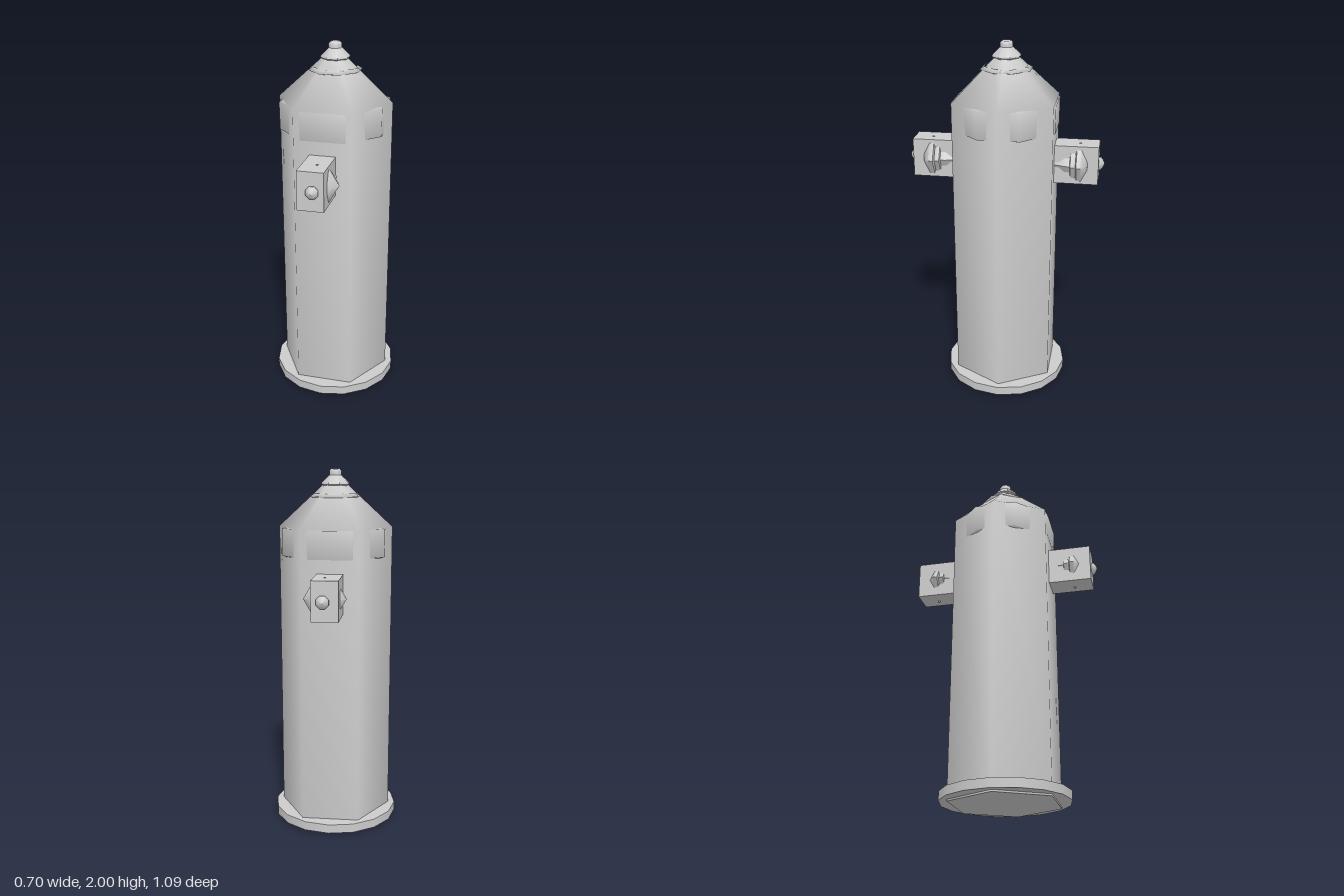
import * as THREE from 'three';
import { toCreasedNormals } from 'three/addons/utils/BufferGeometryUtils.js';

const material = new THREE.MeshStandardMaterial({ color: 0xcccccc });

// Faceted revolve from [radius, height] pairs, listed from bottom to top.
function revolve(profile, sides, start, crease) {
  const points = profile.map(([r, y]) => new THREE.Vector2(r, y));
  const geometry = new THREE.LatheGeometry(points, sides, start);
  return crease ? toCreasedNormals(geometry, crease) : geometry;
}

function add(parent, name, geometry, x = 0, y = 0, z = 0) {
  const mesh = new THREE.Mesh(geometry, material);
  mesh.name = name;
  mesh.position.set(x, y, z);
  parent.add(mesh);
  return mesh;
}

// Side outlet pointing along +z (side = 1) or -z (side = -1).
function makeOutlet(side) {
  const outlet = new THREE.Group();
  outlet.name = side > 0 ? 'frontOutlet' : 'backOutlet';
  const turn = (g) => g.rotateX(side * Math.PI / 2);

  add(outlet, 'outletBlock', new THREE.BoxGeometry(0.142, 0.213, 0.27), 0, 1.352, side * 0.378);
  // Hexagonal neck, ring and domed cap
  const nozzle = revolve([
    [0, 0.2], [0.065, 0.25], [0.07, 0.3], [0.084, 0.33], [0.084, 0.358], [0.1, 0.362], [0.102, 0.385],
    [0.096, 0.39], [0.112, 0.395], [0.112, 0.42], [0.075, 0.452], [0, 0.465],
  ], 6, Math.PI / 2, 0.9);
  add(outlet, 'nozzle', turn(nozzle), 0.01, 1.35, 0);
  // Pointed nut on the end of the block
  const nut = revolve([[0, 0.5], [0.035, 0.51], [0.036, 0.523], [0.02, 0.536], [0, 0.545]], 8, Math.PI / 8);
  add(outlet, 'outletNut', turn(nut), 0.01, 1.35, 0);
  add(outlet, 'outletPin', new THREE.CylinderGeometry(0.006, 0.006, 0.226, 6), 0.01, 1.349, side * 0.41);
  return outlet;
}

export function createModel() {
  const hydrant = new THREE.Group();
  hydrant.name = 'hydrant';

  // Round foot plate
  const foot = new THREE.CylinderGeometry(0.352, 0.352, 0.05, 16, 1, false, Math.PI / 2);
  add(hydrant, 'footPlate', foot, 0, 0.035, 0);

  // Hexagonal barrel with its conical roof, softly shaded around the corners
  add(hydrant, 'barrel', revolve([[0.315, 0], [0.315, 1.69], [0.07, 1.915]], 6, Math.PI / 2));
  const underside = new THREE.CircleGeometry(0.315, 6).rotateX(Math.PI / 2);
  add(hydrant, 'barrelUnderside', underside);

  // Octagonal collar showing through the barrel as shallow panels
  const collar = revolve([[0.27, 1.525], [0.302, 1.535], [0.304, 1.685], [0.27, 1.69]], 8, Math.PI / 8);
  add(hydrant, 'collar', collar);

  // Octagonal band just breaking the roof surface
  add(hydrant, 'roofBand', revolve([[0.12, 1.845], [0.147, 1.853], [0.12, 1.87]], 8, Math.PI / 8));

  // Cap and top nut
  add(hydrant, 'topCap', revolve([
    [0, 1.9], [0.065, 1.908], [0.08, 1.918], [0.078, 1.927], [0.035, 1.968], [0, 1.97],
  ], 8, Math.PI / 8, 0.6));
  add(hydrant, 'topNut', revolve([
    [0.035, 1.96], [0.035, 1.99], [0.026, 2], [0, 2],
  ], 8, Math.PI / 8, 0.9));

  for (const side of [1, -1]) hydrant.add(makeOutlet(side));
  return hydrant;
}
